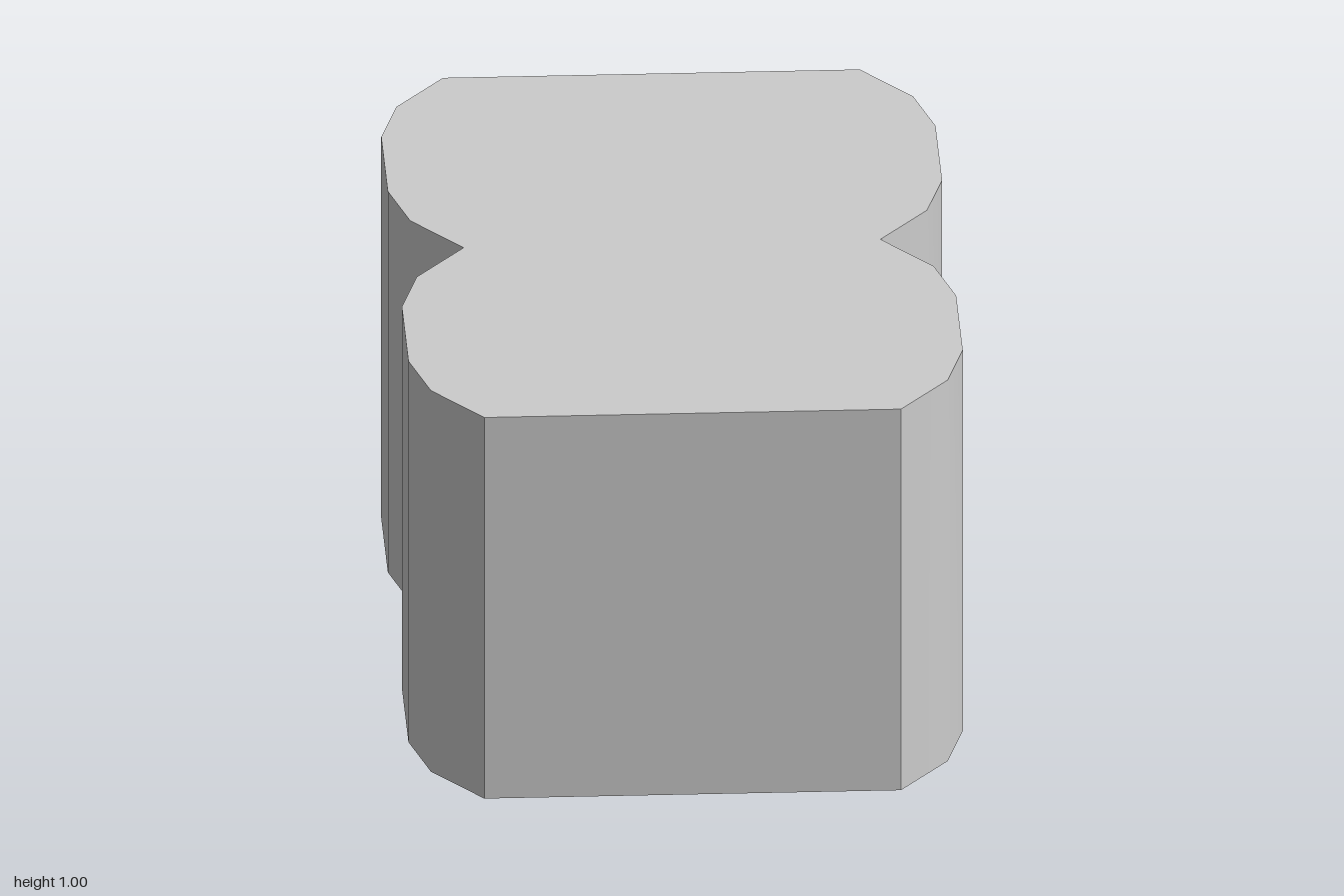
import * as THREE from 'three';
import { toCreasedNormals } from 'three/addons/utils/BufferGeometryUtils.js';

export function createModel() {
  const group = new THREE.Group();
  group.name = 'doubleLobedBlock';
  const material = new THREE.MeshStandardMaterial({ color: 0xcccccc });

  // Bulging side of one lobe: [half width, distance along the lobe]
  const lobe = [[0.5, 0], [0.62, 0.165], [0.665, 0.34], [0.665, 0.66], [0.62, 0.835]];

  // One side runs over both lobes, the other is its mirror image
  const side = [];
  for (const start of [-1, 0]) {
    for (const [x, d] of lobe) side.push(new THREE.Vector2(x, start + d));
  }
  side.push(new THREE.Vector2(0.5, 1));
  const mirrored = side.map((p) => new THREE.Vector2(-p.x, p.y)).reverse();
  const outline = new THREE.Shape([...side, ...mirrored]);

  // Upright prism: lobes shaded smoothly, waist and end corners kept sharp
  const prism = new THREE.ExtrudeGeometry(outline, { depth: 1, bevelEnabled: false });
  prism.rotateX(-Math.PI / 2);
  const block = new THREE.Mesh(toCreasedNormals(prism, 0.6), material);
  block.name = 'block';
  group.add(block);

  return group;
}
